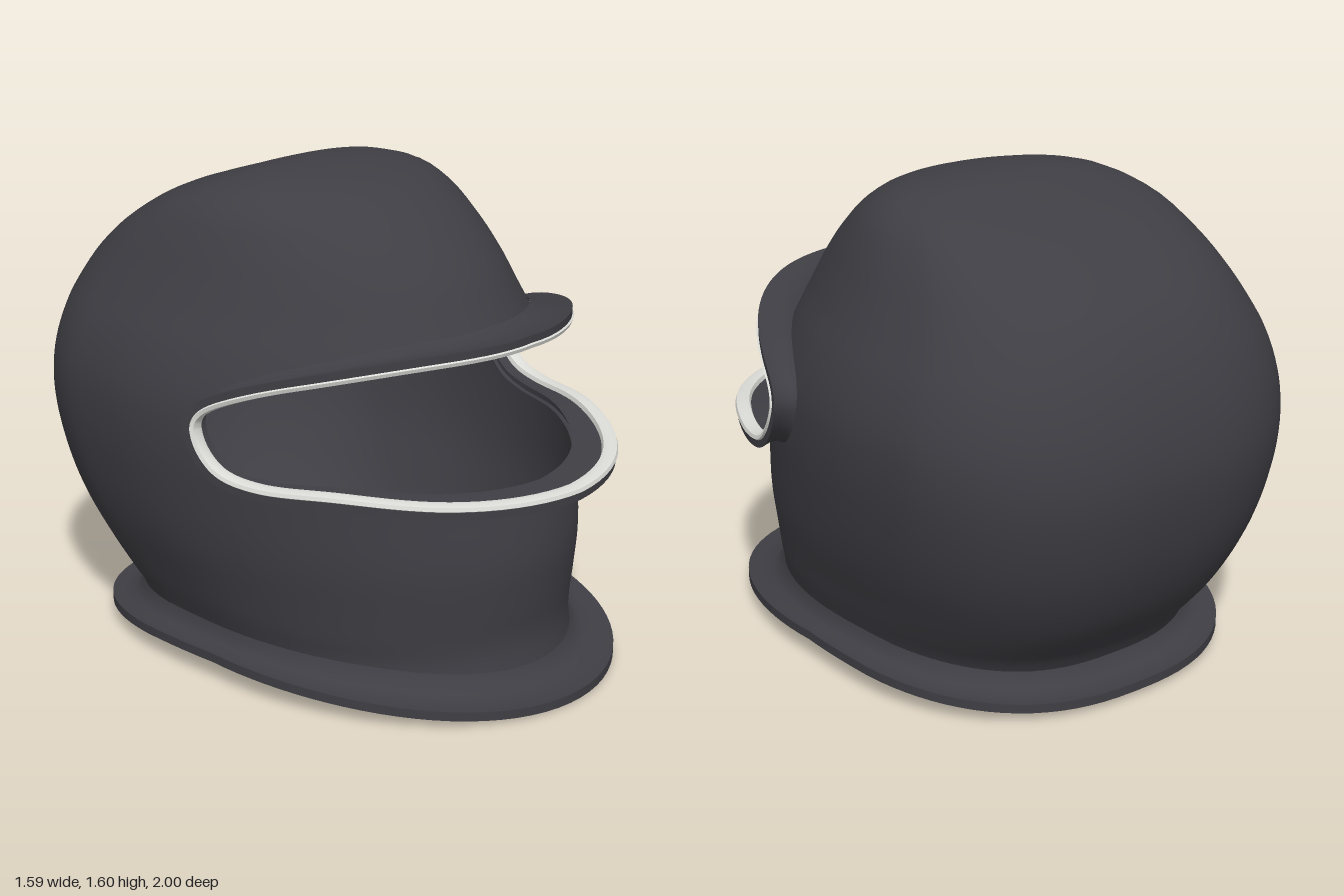
import * as THREE from 'three';
import { mergeGeometries, mergeVertices, toCreasedNormals } from 'three/addons/utils/BufferGeometryUtils.js';

// Shell cross-sections: key, height, half width, front z, back z, z of widest point
const SECTIONS = [
  [0.08, 0.08, 0.6, 0.845, -0.68, 0.06],
  [0.15, 0.15, 0.607, 0.832, -0.715, 0.04],
  [0.2, 0.2, 0.625, 0.83, -0.76, 0.02],
  [0.3, 0.3, 0.655, 0.84, -0.84, -0.04],
  [0.45, 0.45, 0.7, 0.85, -0.92, -0.13],
  [0.6, 0.6, 0.73, 0.835, -0.97, -0.2],
  [0.8, 0.8, 0.752, 0.8, -1.0, -0.25],
  [0.95, 0.95, 0.745, 0.73, -0.985, -0.27],
  [1.1, 1.1, 0.7, 0.64, -0.94, -0.28],
  [1.2, 1.2, 0.65, 0.58, -0.89, -0.27],
  [1.3, 1.3, 0.6, 0.515, -0.815, -0.24],
  [1.4, 1.4, 0.55, 0.42, -0.69, -0.2],
  [1.5, 1.5, 0.48, 0.29, -0.5, -0.15],
  [1.56, 1.555, 0.39, 0.18, -0.33, -0.11],
  [1.62, 1.59, 0.23, 0.03, -0.21, -0.1],
  [1.68, 1.602, 0, -0.1, -0.1, -0.1],
];
const TOP = 1.68;
const OPENING = THREE.MathUtils.degToRad(72); // half angle of the eye opening

// Smooth interpolation through rows of [key, ...values]
function spline(rows) {
  const size = rows[0].length - 1;
  const curve = new THREE.CubicInterpolant(
    rows.map((r) => r[0]), rows.flatMap((r) => r.slice(1)), size, new Float32Array(size));
  return (key) => curve.evaluate(key);
}

const section = spline(SECTIONS);
const lowerEdge = spline([[0, 0.7], [0.25, 0.716], [0.45, 0.738], [0.66, 0.737], [0.8, 0.765], [0.9, 0.82], [1, 0.89]]);
const upperEdge = spline([[0, 1.13], [0.25, 1.115], [0.5, 1.058], [0.7, 0.998], [0.85, 0.95], [1, 0.89]]);

// Point on the shell; angle 0 faces the front
function shellPoint(angle, key) {
  const [y, w, front, back, centre] = section(key);
  const s = Math.sin(angle), c = Math.cos(angle);
  const e = c > 0 ? 1 : 1 - 0.22 * Math.min(1, -c * 3); // fuller curve at the back
  return new THREE.Vector3(
    w * Math.sign(s) * Math.abs(s) ** e, y,
    centre + (c > 0 ? (front - centre) * c : (back - centre) * (-c) ** e));
}

// Horizontal direction pointing out of the shell
function outward(angle, key) {
  const a = shellPoint(angle - 0.02, key), b = shellPoint(angle + 0.02, key);
  return new THREE.Vector3(-(b.z - a.z), 0, b.x - a.x).normalize();
}

// Surface from a grid of points: columns across, rows up
function grid(columns, rows, point) {
  const position = [], index = [];
  for (let i = 0; i <= columns; i++) {
    for (let j = 0; j <= rows; j++) position.push(...point(i, j).toArray());
  }
  for (let i = 0; i < columns; i++) {
    for (let j = 0; j < rows; j++) {
      const a = i * (rows + 1) + j, b = a + rows + 1;
      index.push(a, b, b + 1, a, b + 1, a + 1);
    }
  }
  const geometry = new THREE.BufferGeometry();
  geometry.setAttribute('position', new THREE.Float32BufferAttribute(position, 3));
  geometry.setIndex(index);
  return geometry;
}

const openingAngle = (v) => OPENING * Math.sin(v * Math.PI / 2);
const neckHeight = (angle) => 0.085 - (Math.cos(angle) > 0 ? 0.065 : 0.05) * Math.cos(angle) ** 2;

// Shell below and above the opening; the halves meet behind it
function shellGeometry() {
  const columns = [];
  for (let i = 0; i <= 72; i++) {
    const v = -1 + i / 36;
    columns.push({ angle: openingAngle(v), low: lowerEdge(Math.abs(v))[0], high: upperEdge(Math.abs(v))[0] });
  }
  for (let i = 1; i <= 64; i++) {
    columns.push({ angle: OPENING + (2 * Math.PI - 2 * OPENING) * i / 64, low: 0.89, high: 0.89 });
  }
  const n = columns.length - 1, { lerp } = THREE.MathUtils;
  const lower = grid(n, 22, (i, j) => {
    const { angle, low } = columns[i];
    return shellPoint(angle, lerp(neckHeight(angle) + 0.06, low, j / 22));
  });
  const upper = grid(n, 28, (i, j) => {
    const { angle, high } = columns[i];
    return shellPoint(angle, lerp(high, TOP, j / 28));
  });
  const geometry = mergeVertices(mergeGeometries([lower, upper]), 1e-4);
  geometry.computeVertexNormals();
  return geometry;
}

// Frames around the eye opening: position, outward and away-from-hole directions
function openingFrames() {
  const frames = [], n = 72;
  for (let i = 0; i < 2 * n; i++) {
    const v = i < n ? -1 + 2 * i / n : 1 - 2 * (i - n) / n;
    const angle = openingAngle(v);
    const key = (i < n ? lowerEdge : upperEdge)(Math.abs(v))[0];
    frames.push({ p: shellPoint(angle, key), out: outward(angle, key), reach: 0.06 + 0.085 * Math.cos(angle) ** 1.5 });
  }
  frames.forEach((f, i) => {
    const next = frames[(i + 1) % frames.length].p, last = frames.at(i - 1).p;
    f.away = next.clone().sub(last).cross(f.out).normalize();
  });
  return frames;
}

// Band swept around the opening; profile rows are [share of reach, extra reach, away]
function rimGeometry(frames, profile) {
  const geometry = grid(frames.length, profile.length - 1, (i, j) => {
    const { p, out, away, reach } = frames[i % frames.length];
    const [share, extra, side] = profile[j];
    return p.clone().addScaledVector(out, reach * share + extra).addScaledVector(away, side);
  });
  return toCreasedNormals(mergeVertices(geometry, 1e-5), 0.9);
}

// Flared hem around the neck; profile rows are [share of reach, height]
function flareGeometry() {
  const profile = [[0, 0.075], [0.1, 0.045], [0.3, 0.022], [0.65, 0.012], [1, 0.016], [1, -0.014],
    [0.85, -0.02], [0.4, -0.01], [0.1, 0.015], [-0.08, 0.07]];
  const geometry = grid(96, profile.length - 1, (i, j) => {
    const angle = i / 96 * 2 * Math.PI, c = Math.cos(angle), y = neckHeight(angle);
    const reach = 0.085 + (c > 0 ? 0.07 * c : -0.04 * c);
    const p = shellPoint(angle, y + 0.065).addScaledVector(outward(angle, y + 0.065), reach * profile[j][0]);
    p.y = y + profile[j][1];
    return p;
  });
  return toCreasedNormals(mergeVertices(geometry, 1e-5), 0.9);
}

export function createModel() {
  const dark = new THREE.MeshStandardMaterial({ color: 0x3f3e44, side: THREE.DoubleSide });
  dark.name = 'charcoal';
  const light = new THREE.MeshStandardMaterial({ color: 0xdcdcd8, side: THREE.DoubleSide });
  light.name = 'paleGrey';

  const model = new THREE.Group();
  model.name = 'helmet';
  const add = (name, geometry, material) => {
    const mesh = new THREE.Mesh(geometry, material);
    mesh.name = name;
    model.add(mesh);
  };

  const frames = openingFrames();
  add('shell', shellGeometry(), dark);
  add('neckFlare', flareGeometry(), dark);
  // Dark lip around the opening
  add('openingLip', rimGeometry(frames, [
    [0, -0.01, 0.03], [0.2, 0, 0.014], [0.6, 0, 0.016], [1, 0, 0.03], [1, 0, 0.004], [0.5, 0, 0.002], [0, -0.01, 0],
  ]), dark);
  // Pale trim lining the lip
  add('openingTrim', rimGeometry(frames, [
    [1, -0.004, 0.008], [1, 0.006, 0.002], [1, 0.002, -0.01], [1, -0.02, -0.016], [1, -0.042, -0.012], [1, -0.048, 0.004],
  ]), light);
  return model;
}
